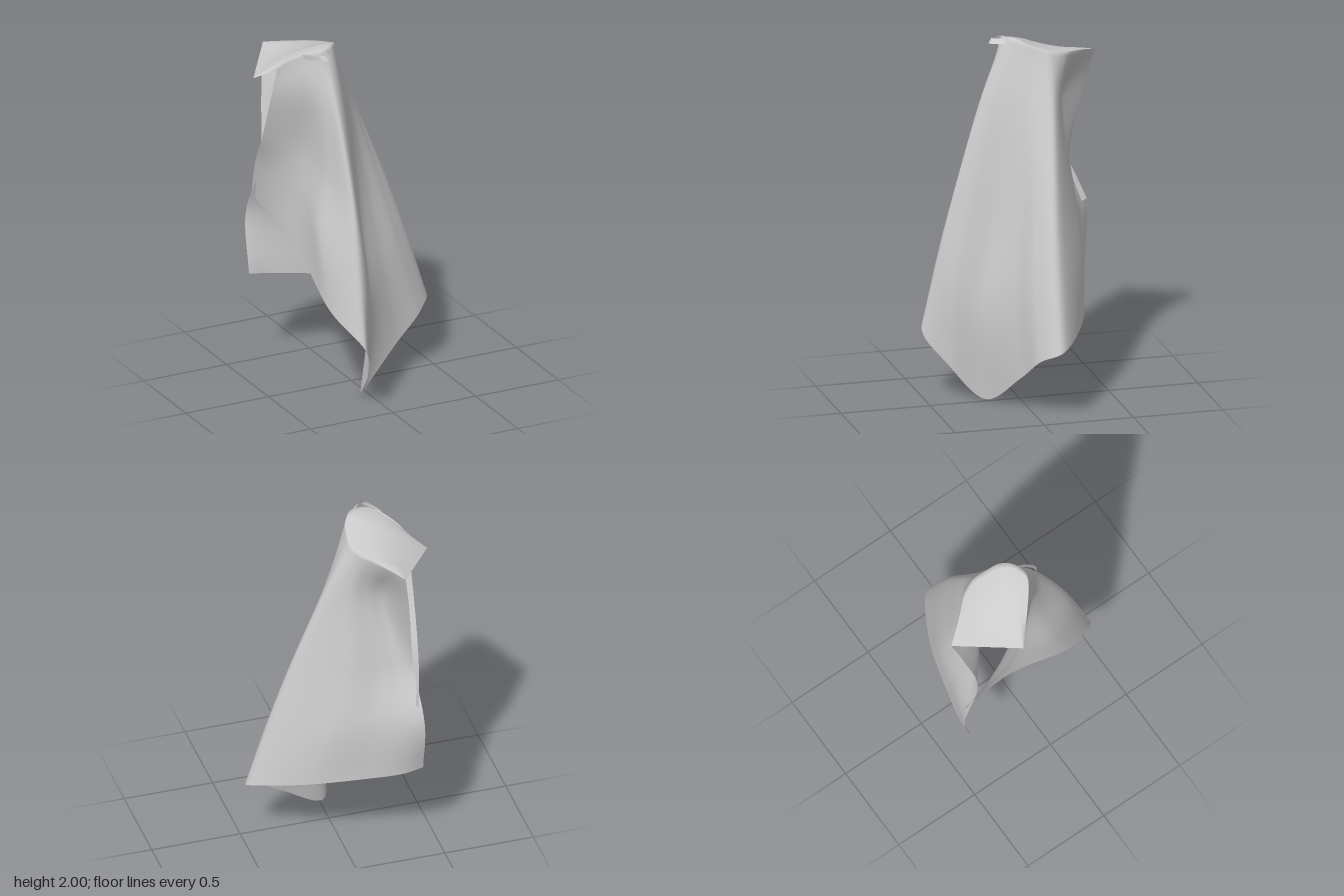
import * as THREE from 'three';

const V = (x, y, z) => new THREE.Vector3(x, y, z);
const material = () => new THREE.MeshStandardMaterial({ color: 0xcccccc, side: THREE.DoubleSide });

// Smooth surface from rows of points; all rows have the same length
function gridMesh(name, rows) {
  const n = rows[0].length, index = [];
  for (let j = 0; j < rows.length - 1; j++) {
    for (let i = 0; i < n - 1; i++) {
      const a = j * n + i, b = a + 1, c = a + n, d = c + 1;
      index.push(a, c, b, b, c, d);
    }
  }
  const geo = new THREE.BufferGeometry().setFromPoints(rows.flat());
  geo.setIndex(index);
  geo.computeVertexNormals();
  const mesh = new THREE.Mesh(geo, material());
  mesh.name = name;
  return mesh;
}

const spline = (pts) => new THREE.CatmullRomCurve3(pts, false, 'catmullrom', 0.5);

// Columns run round the cloth: back edge, back panel, left fold, front valley, front fold, side edge
const HEM_Y = [0.54, 0.52, 0.5, 0.46, 0.4, 0.33, 0.19, 0, 0.19, 0.4, 0.58, 0.83, 0.98];
const CREASE_Y = [1.85, 1.87, 1.89, 1.905, 1.925, 1.95, 1.975, 1.995, 2, 1.995, 1.98, 1.95, 1.86];

// Cross-sections [x, z] from the hem up to the crease, t = height share
const SECTIONS = [
  { t: 0, xz: [[-0.4, -0.43], [-0.28, -0.43], [-0.1, -0.39], [0.22, -0.29], [0.49, -0.12], [0.42, 0], [0.24, 0.06],
    [-0.03, 0.18], [-0.085, 0.37], [-0.17, 0.5], [-0.28, 0.28], [-0.29, -0.12], [-0.36, -0.48]] },
  { t: 0.25, xz: [[-0.39, -0.49], [-0.29, -0.45], [-0.15, -0.4], [0.1, -0.32], [0.37, -0.13], [0.3, -0.01], [0.15, 0.075],
    [0, 0.21], [-0.07, 0.36], [-0.17, 0.41], [-0.275, 0.19], [-0.27, -0.08], [-0.39, -0.38]] },
  { t: 0.5, xz: [[-0.36, -0.38], [-0.29, -0.345], [-0.19, -0.33], [0, -0.3], [0.24, -0.15], [0.19, -0.05], [0.085, 0.025],
    [-0.015, 0.13], [-0.085, 0.27], [-0.155, 0.31], [-0.215, 0.14], [-0.255, -0.04], [-0.415, -0.24]] },
  { t: 0.8, xz: [[-0.32, -0.44], [-0.23, -0.29], [-0.14, -0.265], [-0.04, -0.25], [0.07, -0.18], [0.05, -0.1], [0, -0.02],
    [-0.055, 0.065], [-0.11, 0.14], [-0.165, 0.165], [-0.21, 0.11], [-0.28, 0.03], [-0.42, -0.13]] },
  { t: 1, xz: [[-0.28, -0.5], [-0.22, -0.43], [-0.15, -0.35], [-0.09, -0.28], [-0.06, -0.2], [-0.065, -0.12], [-0.075, -0.06],
    [-0.1, -0.02], [-0.13, 0.01], [-0.17, 0.03], [-0.23, 0.04], [-0.31, -0.01], [-0.405, -0.09]] },
];

export function createModel() {
  const model = new THREE.Group();
  model.name = 'hangingCloth';
  const AROUND = 144, UP = 60, FLAP = 16;

  // Draped body: spline round each section, then splines upwards
  const rings = SECTIONS.map(({ t, xz }) => spline(xz.map(([x, z], i) =>
    V(x, THREE.MathUtils.lerp(HEM_Y[i], CREASE_Y[i], t), z))).getPoints(AROUND));
  const columns = rings[0].map((_, i) => spline(rings.map((r) => r[i])).getPoints(UP));
  const rows = [];
  for (let j = 0; j <= UP; j++) rows.push(columns.map((c) => c[j]));

  // Folded-over corner: from the crease out to the loose tip
  const crease = rows[UP], first = crease[0], last = crease[AROUND];
  const tip = V(-0.5, 1.8, -0.18), tipAt = 0.65;
  for (let j = 1; j <= FLAP; j++) {
    const r = j / FLAP;
    rows.push(crease.map((p, i) => {
      const s = i / AROUND;
      const edge = s < tipAt ? first.clone().lerp(tip, s / tipAt)
        : tip.clone().lerp(last, (s - tipAt) / (1 - tipAt));
      const span = p.distanceTo(edge);
      const q = p.clone().lerp(edge, r);
      q.y += 0.07 * span * Math.sin(Math.PI * r);
      return q;
    }));
  }
  model.add(gridMesh('cloth', rows));

  // Small hanging loop at the top
  const loop = spline([V(-0.16, 1.985, 0.02), V(-0.18, 1.985, 0.06), V(-0.22, 1.98, 0.095),
    V(-0.26, 1.975, 0.06), V(-0.3, 1.965, 0)]).getPoints(20);
  const side = V(0.015, -0.025, 0.02);
  model.add(gridMesh('hangingLoop', [loop, loop.map((p) => p.clone().add(side))]));

  return model;
}
